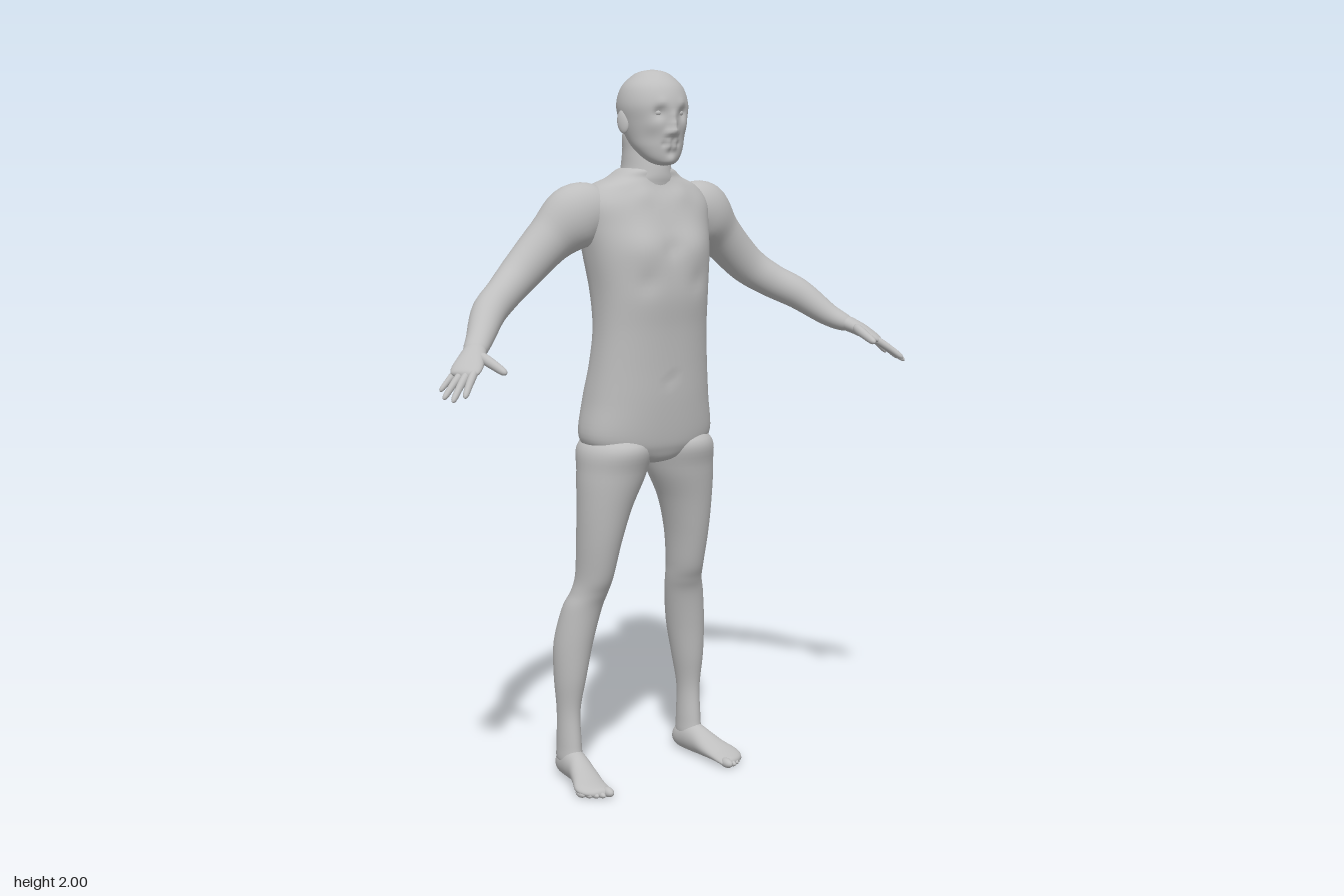
import * as THREE from 'three';

const UP = new THREE.Vector3(0, 1, 0);
const BACK = new THREE.Vector3(0, 0, -1);

// Catmull-Rom blend of whole rows of numbers
function blendRows(rows, steps) {
  const out = [];
  const at = (i) => rows[Math.min(Math.max(i, 0), rows.length - 1)];
  for (let i = 0; i < rows.length - 1; i++) {
    for (let s = 0; s < steps; s++) {
      const t = s / steps;
      const [a, b, c, d] = [at(i - 1), at(i), at(i + 1), at(i + 2)];
      out.push(b.map((p, k) => p + 0.5 * t * (c[k] - a[k] + t * (2 * a[k] - 5 * p + 4 * c[k] - d[k]
        + t * (3 * (p - c[k]) + d[k] - a[k])))));
    }
  }
  out.push(rows[rows.length - 1]);
  return out;
}

// Closed skin through rows [x, y, z, halfWidth, halfDepth]; the end rows are single points.
// axis fixes the ring plane, otherwise rings follow the path. side = -1 mirrors in x.
function loft(rows, { side = 1, ref = UP, axis = null, segs = 32, steps = 6, power = 2 } = {}) {
  const rings = blendRows(rows, steps);
  const pts = rings.map((r) => new THREE.Vector3(r[0] * side, r[1], r[2]));
  const n = rings.length, pos = [], idx = [];
  const round = (c) => Math.sign(c) * Math.abs(c) ** (2 / power);
  pos.push(...pts[0].toArray());
  for (let i = 1; i < n - 1; i++) {
    const t = axis ? axis.clone() : pts[i + 1].clone().sub(pts[i - 1]).normalize();
    const u = new THREE.Vector3().crossVectors(ref, t).normalize();
    const v = new THREE.Vector3().crossVectors(t, u);
    for (let j = 0; j < segs; j++) {
      const a = (j / segs) * Math.PI * 2;
      const p = pts[i].clone()
        .addScaledVector(u, Math.max(rings[i][3], 0.001) * round(Math.cos(a)))
        .addScaledVector(v, Math.max(rings[i][4], 0.001) * round(Math.sin(a)));
      pos.push(p.x, p.y, p.z);
    }
  }
  pos.push(...pts[n - 1].toArray());
  const last = 1 + (n - 2) * segs;
  for (let j = 0; j < segs; j++) {
    const k = (j + 1) % segs;
    idx.push(0, 1 + k, 1 + j, last, last - segs + j, last - segs + k);
    for (let i = 0; i < n - 3; i++) {
      const a = 1 + i * segs;
      idx.push(a + j, a + k, a + segs + k, a + j, a + segs + k, a + segs + j);
    }
  }
  const g = new THREE.BufferGeometry();
  g.setAttribute('position', new THREE.Float32BufferAttribute(pos, 3));
  g.setIndex(idx);
  g.computeVertexNormals();
  return g;
}

// Upright skin from rows [y, x, zFront, zBack, halfWidth]
const upright = (rows, opts) => loft(
  rows.map(([y, x, f, b, w]) => [x, y, (f + b) / 2, w, (f - b) / 2]),
  { axis: UP, ref: BACK, ...opts });

// Soft pushes [x, y, z, radius, dz], applied on both sides
function sculpt(g, bumps) {
  const p = g.attributes.position;
  for (let i = 0; i < p.count; i++) {
    const [x, y, z] = [Math.abs(p.getX(i)), p.getY(i), p.getZ(i)];
    let dz = 0;
    for (const [bx, by, bz, r, d] of bumps) {
      dz += d * Math.exp(-((x - bx) ** 2 + (y - by) ** 2 + (z - bz) ** 2) / (r * r));
    }
    p.setZ(i, z + dz);
  }
  g.computeVertexNormals();
  return g;
}

export function createModel() {
  const model = new THREE.Group();
  model.name = 'standingFigure';
  const skin = new THREE.MeshStandardMaterial({ color: 0xbebebe });
  skin.name = 'skin grey';
  const add = (name, geo, parent = model) => {
    const m = new THREE.Mesh(geo, skin);
    m.name = name;
    parent.add(m);
    return m;
  };
  const ball = (name, parent, p, s) => {
    const m = add(name, new THREE.SphereGeometry(1, 20, 14), parent);
    m.position.set(...p);
    m.scale.set(...s);
    return m;
  };

  // Torso with chest, shoulder blades, spine and buttocks
  add('torso', sculpt(upright([
    [0.915, 0, -0.03, -0.07, 0], [0.93, 0, 0.02, -0.12, 0.07], [0.96, 0, 0.04, -0.165, 0.165],
    [1.0, 0, 0.05, -0.185, 0.203], [1.1, 0, 0.06, -0.187, 0.19], [1.2, 0, 0.065, -0.166, 0.177],
    [1.3, 0, 0.072, -0.157, 0.169], [1.4, 0, 0.083, -0.176, 0.171], [1.5, 0, 0.075, -0.195, 0.184],
    [1.58, 0, 0.052, -0.198, 0.195], [1.64, 0, 0.033, -0.188, 0.197], [1.685, 0, 0.012, -0.168, 0.165],
    [1.71, 0, 0.005, -0.15, 0.11], [1.735, 0, 0, -0.13, 0.07], [1.75, 0, -0.06, -0.06, 0],
  ], { segs: 64, power: 2.3 }), [
    [0.085, 1.53, 0.06, 0.06, 0.012], [0, 1.52, 0.075, 0.025, -0.006], [0.08, 1.43, 0.07, 0.03, -0.005],
    [0, 1.16, 0.065, 0.012, -0.006], [0.09, 1.59, -0.19, 0.06, -0.014], [0.09, 1.03, -0.17, 0.065, -0.012],
    [0, 1.0, -0.18, 0.028, 0.03], [0, 1.2, -0.165, 0.035, 0.008], [0, 1.3, -0.155, 0.035, 0.01],
    [0, 1.4, -0.175, 0.035, 0.012], [0, 1.5, -0.195, 0.035, 0.012], [0.06, 1.665, 0.01, 0.03, 0.006],
  ]));

  add('neck', upright([
    [1.64, 0, -0.06, -0.09, 0], [1.67, 0, 0.0, -0.15, 0.09], [1.7, 0, 0.012, -0.15, 0.085],
    [1.73, 0, 0.012, -0.137, 0.07], [1.78, 0, 0.002, -0.125, 0.066], [1.84, 0, -0.01, -0.115, 0.062],
    [1.87, 0, -0.06, -0.06, 0],
  ]));

  // Head with brows, sockets, nose, lips, cheeks and chin
  const head = new THREE.Group();
  head.name = 'head';
  model.add(head);
  add('skull', sculpt(upright([
    [1.742, 0, 0.025, 0.025, 0], [1.747, 0, 0.05, 0, 0.027], [1.762, 0, 0.058, -0.03, 0.05],
    [1.79, 0, 0.062, -0.07, 0.069], [1.82, 0, 0.064, -0.1, 0.079], [1.86, 0, 0.069, -0.123, 0.089],
    [1.905, 0, 0.072, -0.134, 0.096], [1.95, 0, 0.056, -0.12, 0.085], [1.98, 0, 0.027, -0.092, 0.058],
    [1.994, 0, 0.002, -0.065, 0.034], [2.0, 0, -0.03, -0.03, 0],
  ], { segs: 96 }), [
    [0.035, 1.884, 0.06, 0.017, -0.013], [0.032, 1.906, 0.063, 0.014, 0.004], [0, 1.834, 0.066, 0.013, 0.022],
    [0, 1.856, 0.068, 0.011, 0.013], [0, 1.876, 0.07, 0.01, 0.006], [0.015, 1.83, 0.063, 0.008, 0.008],
    [0.01, 1.809, 0.062, 0.009, 0.005], [0.01, 1.792, 0.061, 0.009, 0.005], [0.022, 1.8, 0.058, 0.007, -0.004],
    [0, 1.777, 0.06, 0.012, -0.004], [0, 1.757, 0.055, 0.016, 0.005], [0.055, 1.85, 0.045, 0.022, 0.005],
  ]));

  for (const side of [1, -1]) {
    const label = side > 0 ? 'left' : 'right';
    const limb = (part) => {
      const g = new THREE.Group();
      g.name = label + part;
      model.add(g);
      return g;
    };

    ball(label + 'Eye', head, [0.034 * side, 1.883, 0.044], [0.014, 0.01, 0.013]);
    const ear = ball(label + 'Ear', head, [0.092 * side, 1.86, -0.035], [0.009, 0.032, 0.019]);
    ear.rotation.set(-0.2, -0.35 * side, 0);

    // Leg and foot
    const leg = limb('Leg');
    add(label + 'ThighAndCalf', upright([
      [1.04, 0.1, -0.05, -0.08, 0], [0.98, 0.103, 0.044, -0.178, 0.095], [0.9, 0.114, 0.035, -0.165, 0.099],
      [0.8, 0.137, 0.015, -0.15, 0.077], [0.7, 0.15, -0.005, -0.15, 0.061], [0.6, 0.156, -0.03, -0.156, 0.051],
      [0.55, 0.163, -0.052, -0.166, 0.052], [0.5, 0.177, -0.07, -0.184, 0.057], [0.4, 0.195, -0.085, -0.205, 0.055],
      [0.3, 0.205, -0.096, -0.2, 0.045], [0.2, 0.21, -0.11, -0.19, 0.032], [0.1, 0.21, -0.103, -0.194, 0.032],
      [0.05, 0.21, -0.1, -0.194, 0.03], [0.03, 0.21, -0.15, -0.15, 0],
    ].reverse(), { side }), leg);
    add(label + 'Foot', loft([
      [0.206, 0.035, -0.206, 0, 0], [0.206, 0.036, -0.197, 0.02, 0.023], [0.207, 0.041, -0.175, 0.031, 0.038],
      [0.21, 0.046, -0.13, 0.035, 0.045], [0.214, 0.042, -0.09, 0.036, 0.041], [0.223, 0.031, -0.045, 0.042, 0.03],
      [0.235, 0.021, 0, 0.048, 0.02], [0.232, 0.016, 0.03, 0.043, 0.015], [0.222, 0.013, 0.05, 0.028, 0.011],
      [0.217, 0.012, 0.058, 0, 0],
    ], { side, axis: new THREE.Vector3(0, 0, 1) }), leg);
    [[0.207, 0.05, 0.014], [0.227, 0.047, 0.009], [0.243, 0.038, 0.009], [0.258, 0.026, 0.009], [0.272, 0.011, 0.01]]
      .forEach(([x, z, r], i) => ball(`${label}Toe${i + 1}`, leg, [x * side, r, z], [r, r, r + 0.011]));

    // Shoulder to wrist
    const arm = limb('Arm');
    add(label + 'UpperArmAndForearm', loft([
      [0.09, 1.63, -0.08, 0, 0], [0.13, 1.623, -0.082, 0.055, 0.06], [0.21, 1.607, -0.088, 0.07, 0.089],
      [0.285, 1.545, -0.108, 0.062, 0.067], [0.38, 1.457, -0.106, 0.053, 0.056], [0.45, 1.407, -0.076, 0.047, 0.049],
      [0.518, 1.366, -0.03, 0.046, 0.045], [0.58, 1.307, 0.032, 0.036, 0.033], [0.62, 1.28, 0.075, 0.028, 0.022],
      [0.635, 1.27, 0.09, 0, 0],
    ], { side }), arm);

    // Hand with spread fingers
    const hand = limb('Hand');
    add(label + 'Palm', loft([
      [0.6, 1.293, 0.055, 0, 0], [0.61, 1.287, 0.067, 0.026, 0.02], [0.64, 1.268, 0.098, 0.035, 0.02],
      [0.668, 1.247, 0.124, 0.041, 0.016], [0.685, 1.234, 0.138, 0.034, 0.011], [0.692, 1.229, 0.143, 0, 0],
    ], { side }), hand);
    const fingers = {
      Thumb: [[0.622, 1.275, 0.105], [0.612, 1.255, 0.16], [0.606, 1.238, 0.213], 0.013],
      IndexFinger: [[0.655, 1.245, 0.145], [0.692, 1.217, 0.178], [0.72, 1.185, 0.207], 0.01],
      MiddleFinger: [[0.668, 1.242, 0.135], [0.71, 1.21, 0.162], [0.744, 1.174, 0.188], 0.01],
      RingFinger: [[0.675, 1.243, 0.122], [0.716, 1.213, 0.138], [0.751, 1.178, 0.153], 0.0095],
      LittleFinger: [[0.675, 1.25, 0.102], [0.71, 1.222, 0.108], [0.739, 1.192, 0.112], 0.0085],
    };
    for (const [name, [a, b, c, r]] of Object.entries(fingers)) {
      const path = new THREE.QuadraticBezierCurve3(...[a, b, c].map((p) => new THREE.Vector3(...p)));
      const rows = [[0, 0], [0.06, 0.9], [0.3, 1.05], [0.6, 0.92], [0.85, 0.8], [0.96, 0.5], [1, 0]]
        .map(([t, k]) => [...path.getPoint(t).toArray(), r * k, r * k]);
      add(label + name, loft(rows, { side, segs: 14, steps: 3 }), hand);
    }
  }
  return model;
}
